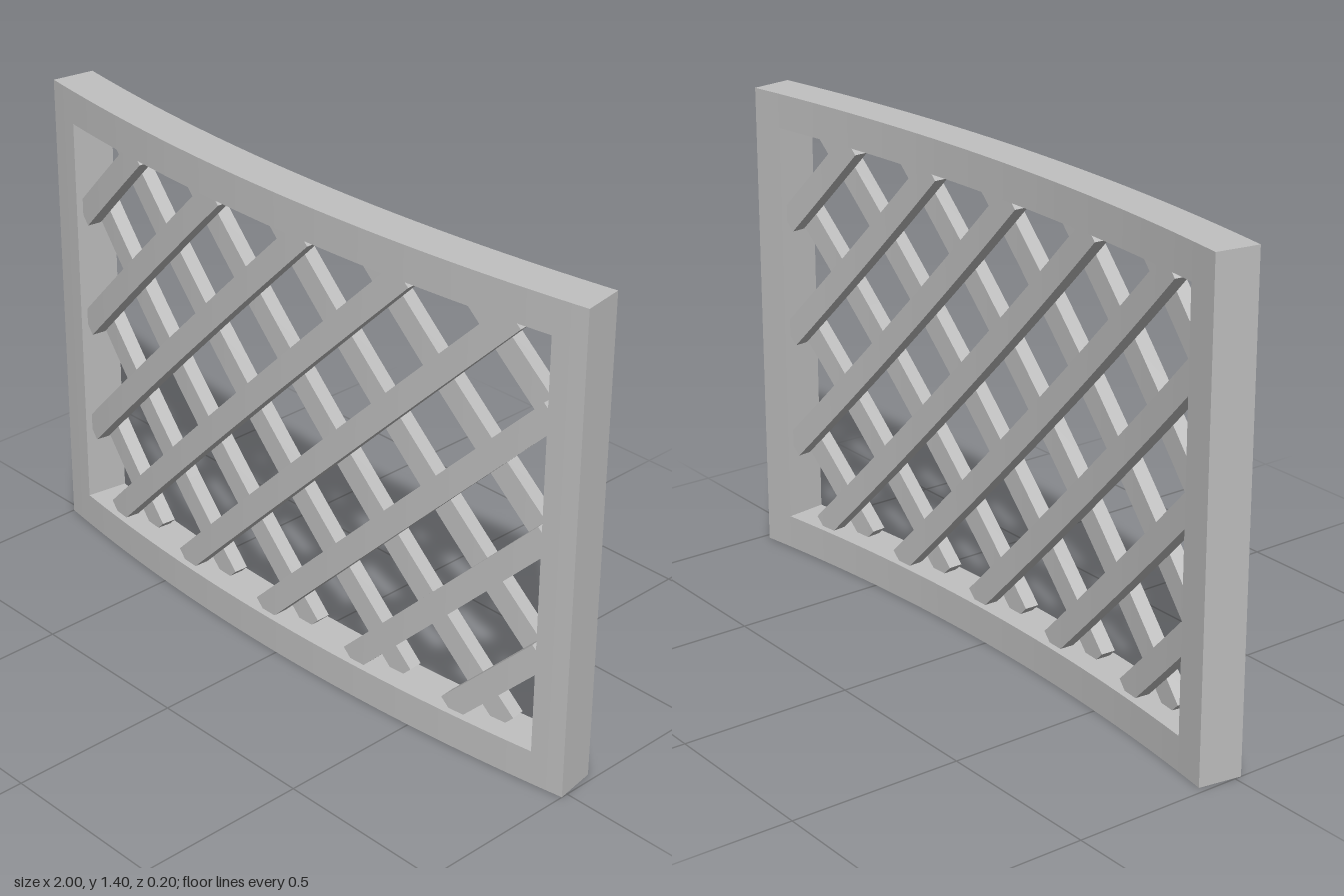
import * as THREE from 'three';

const R = 6.29, CZ = -6.19, DEPTH = 0.125;   // bend radius, bend centre, frame depth
const H = 1.4, RAIL = 0.1, SIDE = 0.9;       // height, rail width, half opening
const SLAT_W = 0.07, PITCH = 0.348, MID = 0.7, STEP = 0.075;

// Flat position (s across, y up, d behind the front face) bent onto the arc
function bend(s, y, d) {
  const a = s * Math.asin(1 / R);
  return [(R - d) * Math.sin(a), y, CZ + (R - d) * Math.cos(a)];
}

// Bent plate from upright columns [s, low, high] between depths d0 and d1
function plate(columns, d0, d1) {
  const pos = [];
  const quad = (a, b, c, d) => pos.push(...a, ...b, ...c, ...a, ...c, ...d);
  const corners = ([s, lo, hi]) => [bend(s, lo, d0), bend(s, hi, d0), bend(s, hi, d1), bend(s, lo, d1)];
  for (let i = 0; i < columns.length - 1; i++) {
    const p = corners(columns[i]), q = corners(columns[i + 1]);
    quad(p[0], q[0], q[1], p[1]); // front
    quad(q[3], p[3], p[2], q[2]); // back
    quad(p[1], q[1], q[2], p[2]); // top
    quad(p[3], q[3], q[0], p[0]); // bottom
  }
  const f = columns[0], l = columns[columns.length - 1];
  const a = corners(f), b = corners(l);
  if (f[2] - f[1] > 1e-4) quad(a[3], a[0], a[1], a[2]);
  if (l[2] - l[1] > 1e-4) quad(b[0], b[3], b[2], b[1]);
  const g = new THREE.BufferGeometry();
  g.setAttribute('position', new THREE.Float32BufferAttribute(pos, 3));
  g.computeVertexNormals();
  return g;
}

// Keep the part of a convex polygon where sign * p[axis] <= limit
function clip(poly, axis, sign, limit) {
  const out = [];
  poly.forEach((p, i) => {
    const q = poly[(i + 1) % poly.length];
    const dp = sign * p[axis] - limit, dq = sign * q[axis] - limit;
    if (dp <= 0) out.push(p);
    if (dp * dq < 0) {
      const t = dp / (dp - dq);
      out.push([p[0] + (q[0] - p[0]) * t, p[1] + (q[1] - p[1]) * t]);
    }
  });
  return out;
}

// Slice a convex polygon into columns, adding stops so that it can bend
function toColumns(poly) {
  const stops = poly.map(p => p[0]).sort((a, b) => a - b);
  const all = [];
  stops.forEach((s, i) => {
    if (i && s - stops[i - 1] < 1e-5) return;
    if (i) {
      const from = all[all.length - 1], n = Math.ceil((s - from) / STEP);
      for (let k = 1; k < n; k++) all.push(from + (s - from) * k / n);
    }
    all.push(s);
  });
  return all.map(s => {
    let lo = Infinity, hi = -Infinity;
    poly.forEach((p, i) => {
      const q = poly[(i + 1) % poly.length];
      if (s < Math.min(p[0], q[0]) - 1e-5 || s > Math.max(p[0], q[0]) + 1e-5) return;
      const w = q[0] - p[0];
      const ys = Math.abs(w) < 1e-5 ? [p[1], q[1]] : [p[1] + (q[1] - p[1]) * (s - p[0]) / w];
      lo = Math.min(lo, ...ys);
      hi = Math.max(hi, ...ys);
    });
    return [s, lo, hi];
  });
}

const rect = (s0, s1, y0, y1) => [[s0, y0], [s1, y0], [s1, y1], [s0, y1]];

// Diagonal slat crossing mid height at m; dir 1 rises to +x, -1 to -x
function slatOutline(m, dir) {
  const t0 = Math.max(-(MID - RAIL), -SIDE - m), t1 = Math.min(MID - RAIL, SIDE - m);
  const h = SLAT_W / 2 * Math.SQRT1_2;
  let poly = [
    [m + t0 + h, MID + t0 - h], [m + t1 + h, MID + t1 - h],
    [m + t1 - h, MID + t1 + h], [m + t0 - h, MID + t0 + h],
  ].map(([s, y]) => [s * dir, y]);
  poly = clip(poly, 0, 1, SIDE);
  poly = clip(poly, 0, -1, SIDE);
  poly = clip(poly, 1, 1, H - RAIL - 0.008);
  return clip(poly, 1, -1, -RAIL);
}

export function createModel() {
  const model = new THREE.Group();
  model.name = 'curvedLatticePanel';
  const grey = new THREE.MeshStandardMaterial({ color: 0xc0c0c0 });
  grey.name = 'plainGrey';

  const add = (parent, name, poly, d0, d1) => {
    const mesh = new THREE.Mesh(plate(toColumns(poly), d0, d1), grey);
    mesh.name = name;
    parent.add(mesh);
  };

  // Frame
  const frame = new THREE.Group();
  frame.name = 'frame';
  add(frame, 'bottomRail', rect(-SIDE, SIDE, 0, RAIL), 0, DEPTH);
  add(frame, 'topRail', rect(-SIDE, SIDE, H - RAIL, H), 0, DEPTH);
  add(frame, 'leftStile', rect(SIDE, 1, 0, H), 0, DEPTH);
  add(frame, 'rightStile', rect(-1, -SIDE, 0, H), 0, DEPTH);

  // Two crossing layers of slats
  const lattice = new THREE.Group();
  lattice.name = 'lattice';
  for (let k = -4; k < 4; k++) {
    const m = (k + 0.5) * PITCH;
    add(lattice, 'frontSlat', slatOutline(m, 1), 0.02, 0.0625);
    add(lattice, 'backSlat', slatOutline(m, -1), 0.0625, 0.105);
  }

  model.add(frame, lattice);
  return model;
}
